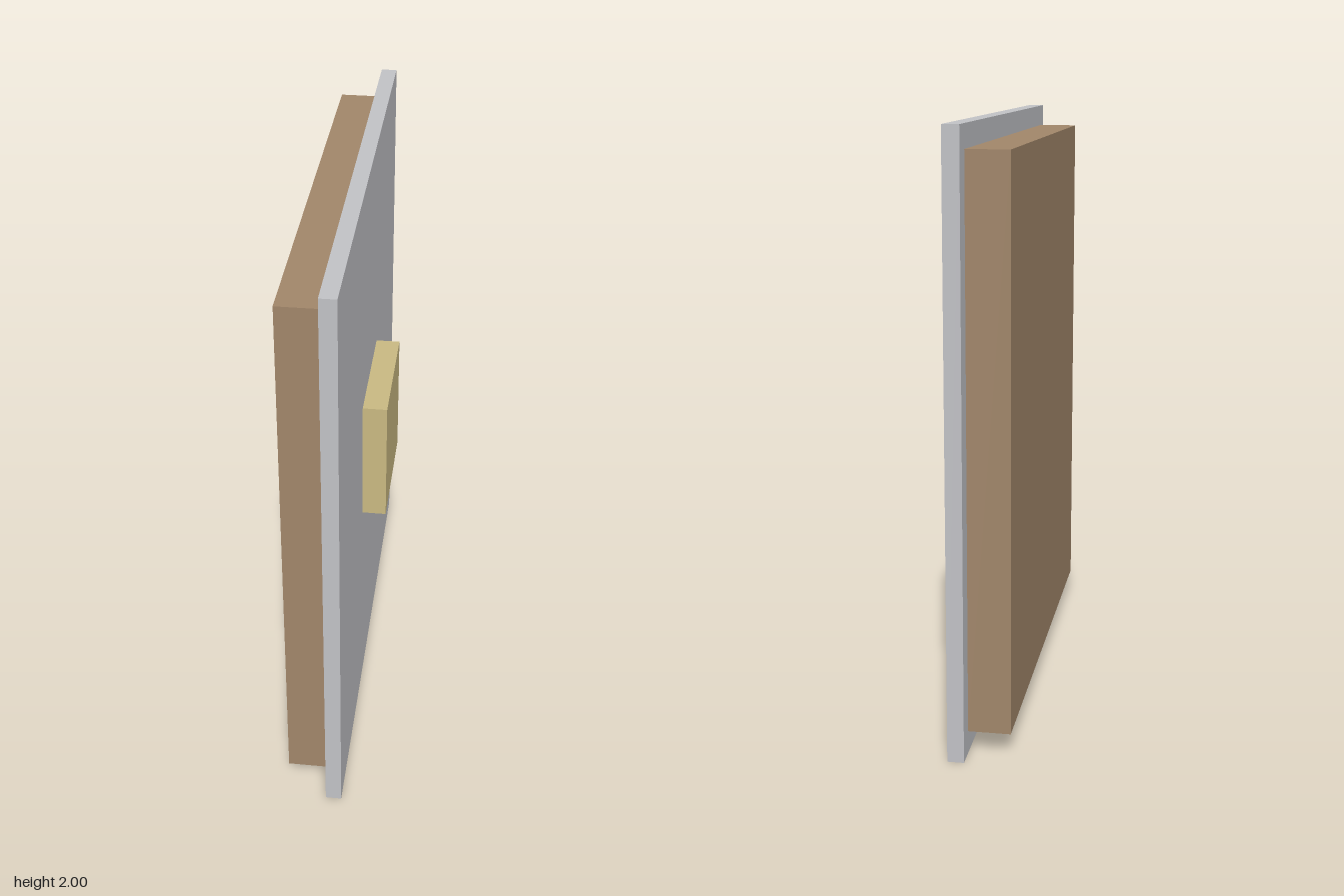
import * as THREE from 'three';

export function createModel() {
  const group = new THREE.Group();
  const material = (name, color) => {
    const m = new THREE.MeshStandardMaterial({ color });
    m.name = name;
    return m;
  };

  // Upright slab spanning x0..x1, centred on y = 1 and z = 0
  const addSlab = (name, x0, x1, height, depth, mat) => {
    const mesh = new THREE.Mesh(new THREE.BoxGeometry(x1 - x0, height, depth), mat);
    mesh.name = name;
    mesh.position.set((x0 + x1) / 2, 1, 0);
    group.add(mesh);
  };

  addSlab('backingBoard', -0.139, 0, 1.85, 1.56, material('brown wood', 0xa1866a));
  addSlab('facePanel', 0, 0.054, 2, 1.704, material('light grey', 0xc1c2c6));
  addSlab('centreBlock', 0.054, 0.137, 0.444, 0.444, material('pale gold', 0xc9b982));

  return group;
}
